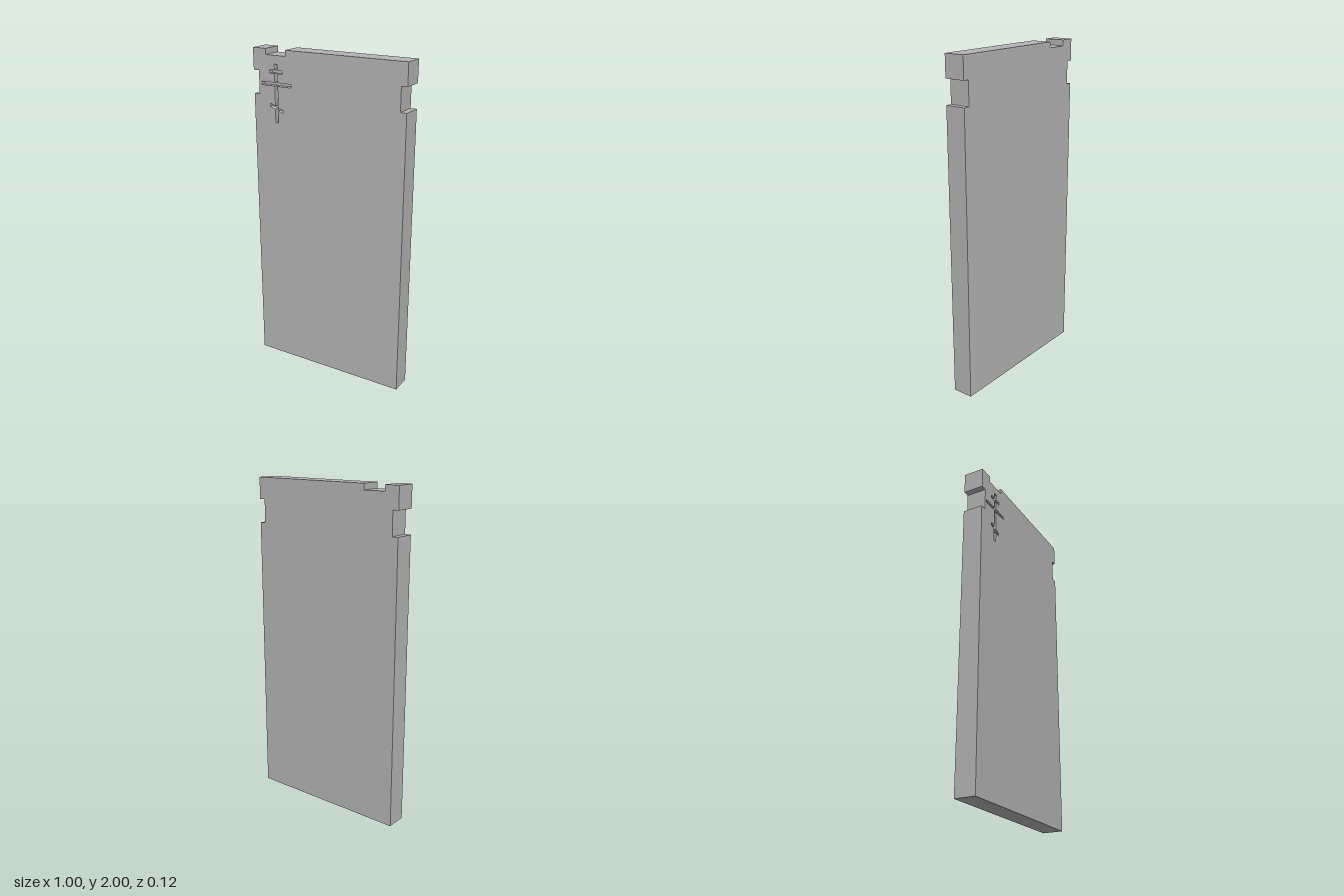
import * as THREE from 'three';

const HALF_DEPTH = 0.0625;
const RECESS = 0.03;

const path = (pts, Type) => new Type(pts.map(([x, y]) => new THREE.Vector2(x, y)));

// Slab outline: one notch in the top edge and one in each side
function slabShape() {
  return path([
    [-0.5, 0], [0.5, 0], [0.5, 1.73], [0.463, 1.73], [0.463, 1.87], [0.5, 1.87],
    [0.5, 2], [-0.275, 2], [-0.275, 1.965], [-0.41, 1.965], [-0.41, 2],
    [-0.5, 2], [-0.5, 1.87], [-0.463, 1.87], [-0.463, 1.73], [-0.5, 1.73],
  ], THREE.Shape);
}

// Engraved cross: a stem with two level bars and a slanted foot bar
function crossHole() {
  const cx = -0.342, s = 0.01;
  const bars = [
    { y: 1.87, half: 0.045, slope: 0 },
    { y: 1.798, half: 0.103, slope: 0 },
    { y: 1.657, half: 0.045, slope: -0.39 },
  ];
  const side = (bar, dir) => {
    const at = (dx, dy) => [cx + dir * dx, bar.y + bar.slope * dir * dx + dy];
    return [at(s, 0.01), at(bar.half, 0.01), at(bar.half, -0.01), at(s, -0.01)];
  };
  const right = bars.flatMap((b) => side(b, 1));
  const left = bars.flatMap((b) => side(b, -1)).reverse();
  return path([
    [cx - s, 1.915], [cx + s, 1.915], ...right,
    [cx + s, 1.57], [cx - s, 1.57], ...left,
  ], THREE.Path);
}

export function createModel() {
  const group = new THREE.Group();
  group.name = 'notchedSlab';
  const stone = new THREE.MeshStandardMaterial({ color: 0xb4b4b4 });
  stone.name = 'grey stone';

  const addLayer = (name, shape, z, depth) => {
    const geometry = new THREE.ExtrudeGeometry(shape, { depth, bevelEnabled: false });
    geometry.translate(0, 0, z);
    const mesh = new THREE.Mesh(geometry, stone);
    mesh.name = name;
    group.add(mesh);
  };

  // Solid back of the slab, whose front is the floor of the engraving
  addLayer('slabBody', slabShape(), -HALF_DEPTH, 2 * HALF_DEPTH - RECESS);

  // Front layer with the cross cut through it
  const face = slabShape();
  face.holes.push(crossHole());
  addLayer('engravedFace', face, HALF_DEPTH - RECESS, RECESS);

  return group;
}
